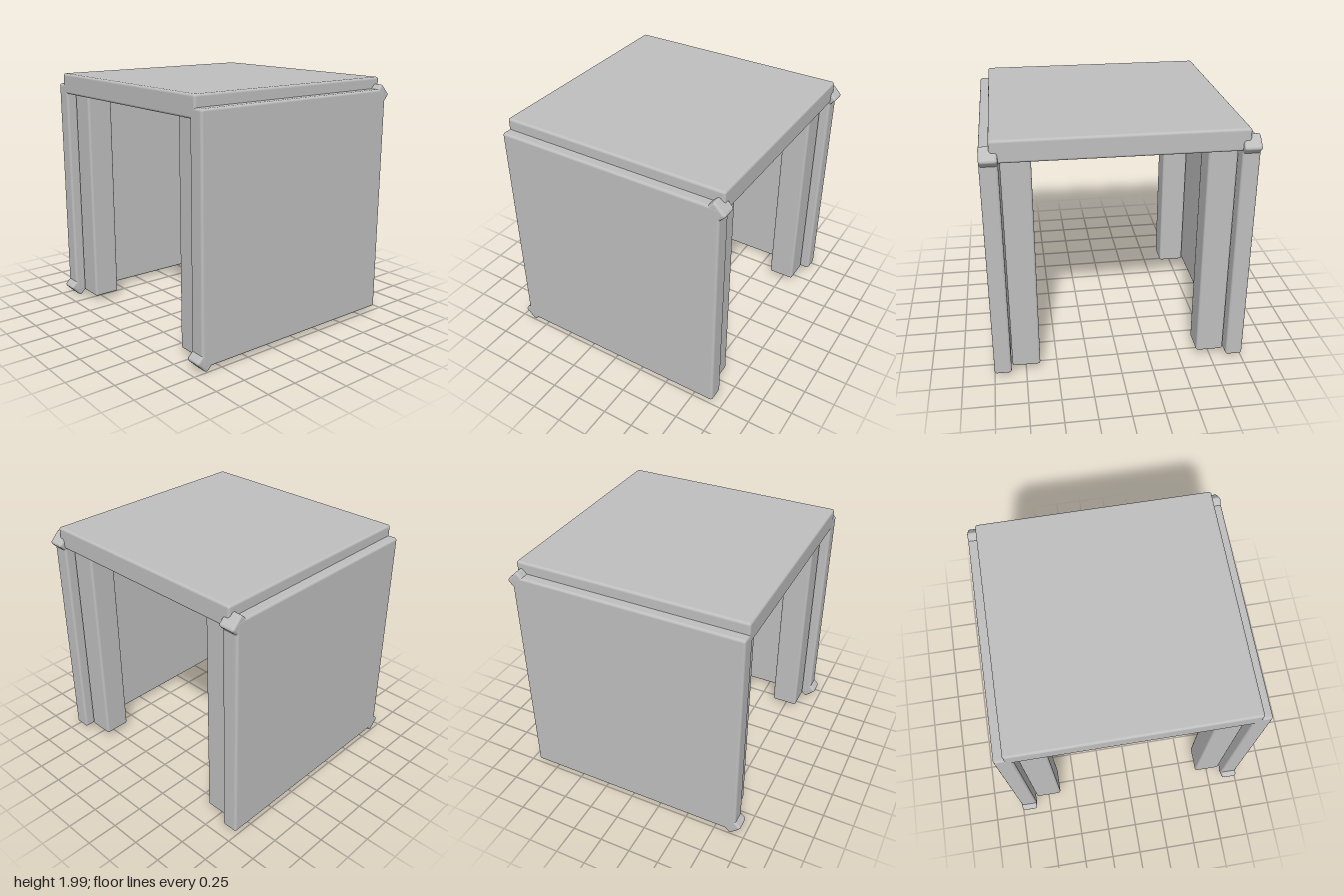
import * as THREE from 'three';
import { RoundedBoxGeometry } from 'three/addons/geometries/RoundedBoxGeometry.js';

export function createModel() {
  const model = new THREE.Group();
  model.name = 'table';
  const grey = new THREE.MeshStandardMaterial({ color: 0xbebebe });
  grey.name = 'plain grey';

  // Softly rounded block, placed by its centre
  const block = (name, [w, h, d], [x, y, z]) => {
    const mesh = new THREE.Mesh(new RoundedBoxGeometry(w, h, d, 3, 0.02), grey);
    mesh.name = name;
    mesh.position.set(x, y, z);
    model.add(mesh);
    return mesh;
  };

  // Table top
  block('tableTop', [1.85, 0.17, 1.85], [0, 1.905, 0]);

  for (const [end, s] of [['front', 1], ['back', -1]]) {
    // End panel, with a diagonal brace whose tips poke out at two corners
    block(end + 'Panel', [1.85, 1.86, 0.134], [0, 0.97, s * 0.933]);
    block(end + 'Brace', [2.625, 0.13, 0.132], [0, 0.97, s * 0.933]).rotation.z = Math.PI / 4;

    // Square legs just inside the panel
    for (const [side, t] of [['Left', 1], ['Right', -1]])
      block(end + side + 'Leg', [0.22, 1.8, 0.22], [t * 0.745, 0.95, s * 0.747]);
  }
  return model;
}
